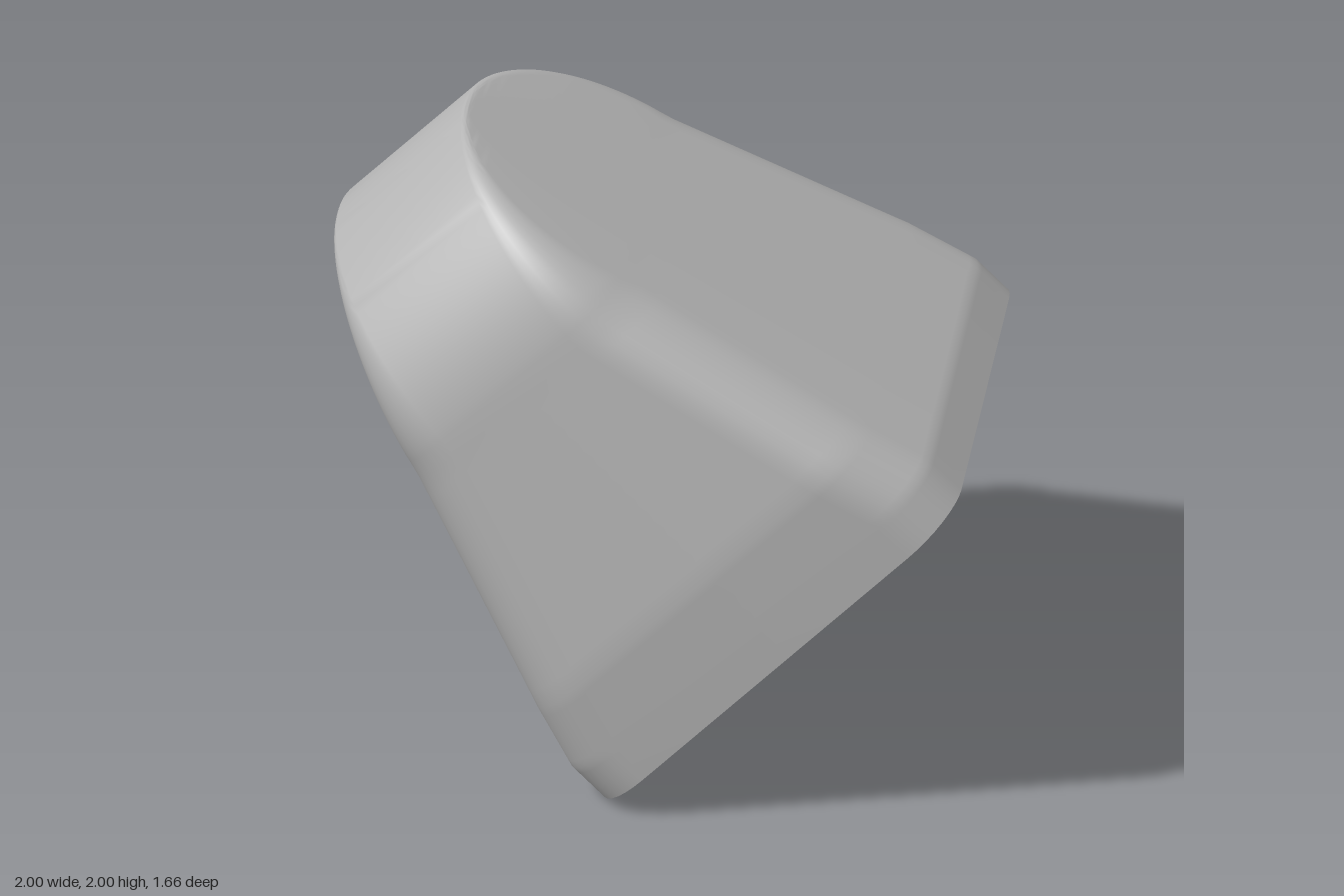
import * as THREE from 'three';
import { toCreasedNormals } from 'three/addons/utils/BufferGeometryUtils.js';

// Tilted local frame: a = distance from the base, u = across the wedge, z = width
const S = Math.SQRT1_2;
const toWorld = ([u, a, z]) => [0.45 + (u - a) * S, 0.55 + (u + a) * S, z];

const TIP = 1.768, RADIUS = 0.716, FLANGE = 0.141, SHOULDER = 0.36, SPRING = 1.202;
const START = 0.21; // angle at which the arch begins

// Half thickness of the wedge at distance a from the base
const halfThickness = (a) => 0.778 - 0.495 * Math.max(0, a - FLANGE) / (TIP - FLANGE);
// Edge rounding, shrinking towards the tip
const rounding = (a) => Math.max(0.015, Math.min(0.2, halfThickness(a) - 0.27));

// Half of the arched outline, from the base to the tip: [z, a, normalZ, normalA]
function halfOutline() {
  const pts = [];
  for (const a of [0, 0.06, 0.12, 0.141, 0.165, 0.22, 0.33]) pts.push([0.83, a, 1, 0]);
  for (let i = 0; i <= 14; i++) {
    const k = i / 14;
    const tilt = 0.147 * Math.min(1, k * 8);
    pts.push([0.83 - 0.13 * k, SHOULDER + (SPRING - SHOULDER) * k, Math.cos(tilt), Math.sin(tilt)]);
  }
  for (let i = 1; i <= 32; i++) {
    const t = START + (Math.PI / 2 - START) * i / 32;
    const c = Math.cos(t), s = Math.sin(t);
    pts.push([RADIUS * c, TIP - RADIUS + RADIUS * s, c, s]);
  }
  return pts;
}

// Section across the wedge at one outline point, from one face to the other
function section([z, a, nz, na]) {
  const r = rounding(a), U = halfThickness(a);
  const qz = z - nz * r, qa = a - na * r, qU = halfThickness(qa);
  const half = [[0, qa, 0], [qU, qa, qz * 0.5]];
  half[0][0] = qU;
  const steps = 8;
  for (let i = 0; i <= steps; i++) {
    const t = i / steps;
    const w0 = t * t, w1 = 2 * t * (1 - t) * S, w2 = (1 - t) * (1 - t), w = w0 + w1 + w2;
    half.push([
      (w0 * (U - r) + w1 * U + w2 * qU) / w,
      ((w0 + w1) * a + w2 * qa) / w,
      ((w0 + w1) * z + w2 * qz) / w,
    ]);
  }
  const lower = half.map(([u, aa, zz]) => [-u, aa, zz]);
  return [...lower, ...half.reverse()];
}

function bodyGeometry() {
  const side = halfOutline();
  const mirrored = side.slice(0, -1).reverse().map(([z, a, nz, na]) => [-z, a, -nz, na]);
  const columns = [...side, ...mirrored].map(section);
  const rows = columns[0].length;
  const positions = columns.flat().flatMap(toWorld);
  const index = [];
  for (let i = 0; i < columns.length - 1; i++) {
    for (let j = 0; j < rows - 1; j++) {
      const p = i * rows + j, q = p + rows;
      index.push(p, p + 1, q, p + 1, q + 1, q);
    }
  }
  // Flat base closing the open end
  const last = (columns.length - 1) * rows;
  const loop = [];
  for (let j = 0; j < rows; j++) loop.push(j);
  for (let j = rows - 1; j >= 0; j--) loop.push(last + j);
  const centre = positions.length / 3;
  positions.push(...toWorld([0, 0, 0]));
  loop.forEach((v, k) => index.push(centre, loop[(k + 1) % loop.length], v));

  const g = new THREE.BufferGeometry();
  g.setAttribute('position', new THREE.Float32BufferAttribute(positions, 3));
  g.setIndex(index);
  return toCreasedNormals(g, 0.5);
}

export function createModel() {
  const grey = new THREE.MeshStandardMaterial({ color: 0xb4b4b4 });
  grey.name = 'plain grey';
  const body = new THREE.Mesh(bodyGeometry(), grey);
  body.name = 'archedWedgeBody';
  const group = new THREE.Group();
  group.name = 'archedWedge';
  group.add(body);
  return group;
}
